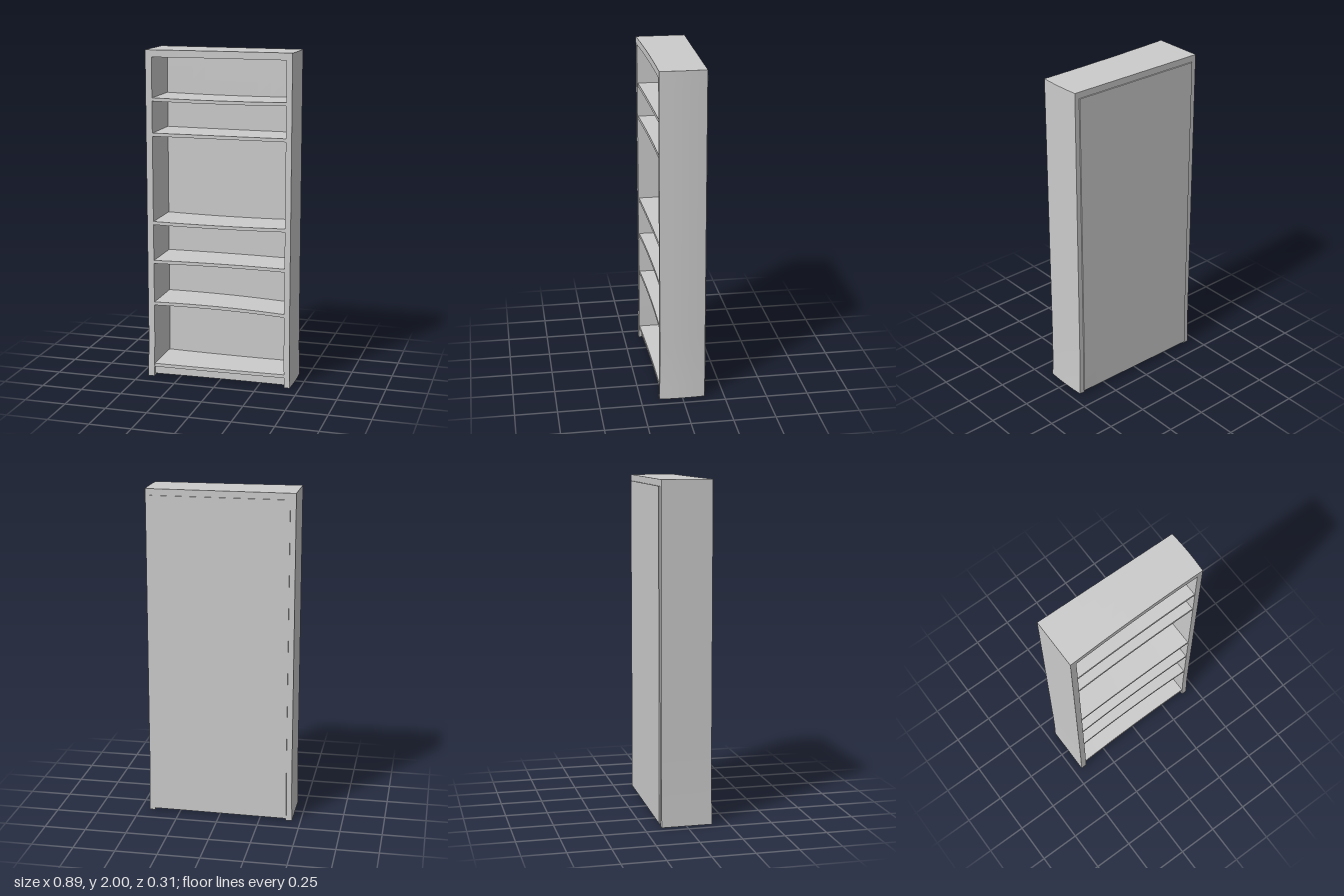
import * as THREE from 'three';
import { toCreasedNormals } from 'three/addons/utils/BufferGeometryUtils.js';

// Hand-cut irregularity: the case is slightly bowed in front, slimmer at its left, and flared at its feet
function warp(p) {
  const t = (p.z + 0.15) / 0.3;
  const front = -0.014 + 0.014 * Math.pow((p.x - 0.2) / 0.65, 2) - 0.004 * (p.x + 0.45);
  const back = 0.014 * (p.x + 0.45) / 0.89;
  p.z += front * t + back * (1 - t);
  const foot = Math.max(0, 1 - p.y / 0.35) ** 2;
  if (Math.abs(p.x) > 0.39) p.x += Math.sign(p.x) * 0.005 * foot;
  if (p.z > 0.1) p.z += 0.005 * foot;
  // left side swells a little at mid depth
  if (p.x > 0.42) p.x += 0.006 * (1 - Math.pow(p.z / 0.15, 2));
}

// Board between two corners, with an optional bend rule applied before the warp
function board(name, [x0, y0, z0], [x1, y1, z1], bend) {
  const w = x1 - x0, h = y1 - y0, d = z1 - z0;
  const seg = (s) => Math.max(1, Math.round(s / 0.08));
  const geo = new THREE.BoxGeometry(w, h, d, seg(w), seg(h), seg(d));
  geo.translate((x0 + x1) / 2, (y0 + y1) / 2, (z0 + z1) / 2);
  const pos = geo.attributes.position, p = new THREE.Vector3();
  for (let i = 0; i < pos.count; i++) {
    p.fromBufferAttribute(pos, i);
    if (bend) bend(p);
    warp(p);
    pos.setXYZ(i, p.x, p.y, p.z);
  }
  const mesh = new THREE.Mesh(
    toCreasedNormals(geo, 0.6),
    new THREE.MeshStandardMaterial({ color: 0xcccccc })
  );
  mesh.name = name;
  return mesh;
}

export function createModel() {
  const model = new THREE.Group();
  model.name = 'bookcase';

  // Upright sides and top
  model.add(board('rightSide', [-0.443, 0, -0.148], [-0.405, 1.97, 0.15]));
  model.add(board('leftSide', [0.402, 0, -0.148], [0.435, 1.97, 0.15]));
  model.add(board('top', [-0.443, 1.958, -0.148], [0.435, 2, 0.15]));

  // Thin back panel, slightly proud of the case
  model.add(board('backPanel', [-0.41, 0.015, -0.156], [0.408, 1.962, -0.144]));

  // Recessed plinth below the bottom shelf
  model.add(board('plinth', [-0.408, 0.012, -0.146], [0.405, 0.066, 0.132]));

  // Shelves: underside height at the right end, at the left end, and sag in the middle
  const shelves = [
    [0.06, 0.06, 0.003],
    [0.452, 0.435, -0.007],
    [0.713, 0.713, -0.003],
    [0.954, 0.956, 0.006],
    [1.49, 1.488, 0.001],
    [1.699, 1.697, 0.005],
  ];
  shelves.forEach(([yr, yl, sag], i) => {
    model.add(board(`shelf${i + 1}`, [-0.408, 0, -0.146], [0.405, 0.02, 0.146], (p) => {
      const u = p.x / 0.406;
      p.y += yr + (yl - yr) * (u + 1) / 2 - sag * (1 - u * u);
    }));
  });

  // Small fillets at the upper corners of the opening
  for (const s of [-1, 1]) {
    const x = s < 0 ? -0.406 : 0.403, r = 0.014;
    const shape = new THREE.Shape();
    shape.moveTo(0, 0);
    shape.lineTo(-s * r, 0);
    shape.quadraticCurveTo(0, 0, 0, -r);
    const geo = new THREE.ExtrudeGeometry(shape, { depth: 0.27, bevelEnabled: false, curveSegments: 4 });
    geo.translate(x, 1.959, -0.14);
    const fillet = new THREE.Mesh(geo, new THREE.MeshStandardMaterial({ color: 0xcccccc }));
    fillet.name = s < 0 ? 'rightFillet' : 'leftFillet';
    model.add(fillet);
  }
  return model;
}
